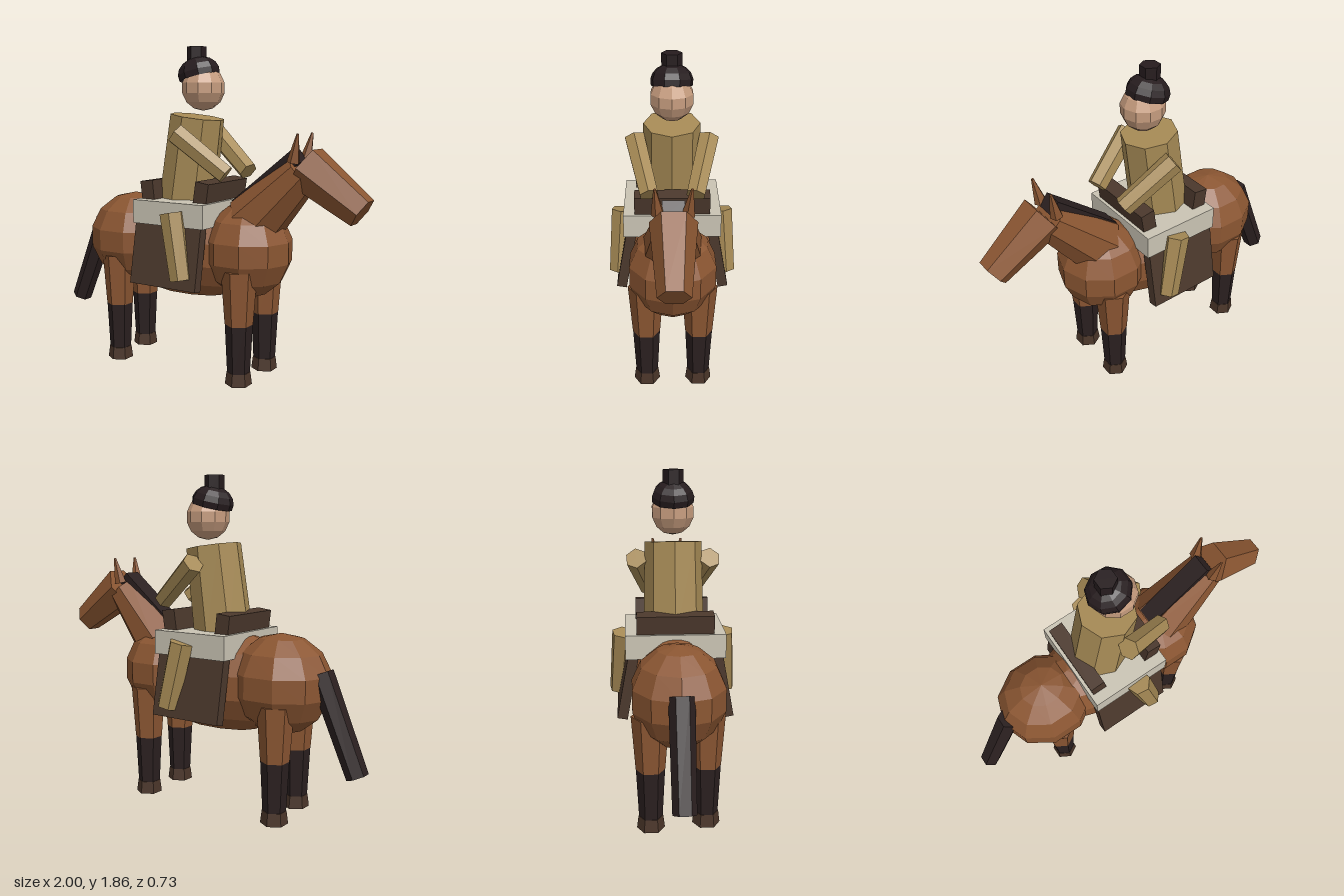
import * as THREE from 'three';

const mat = (name, color, side = THREE.FrontSide) => {
  const m = new THREE.MeshStandardMaterial({ color, side });
  m.name = name;
  return m;
};

// Faceted mesh: every face gets its own normal
function part(parent, name, geometry, material, pos = [0, 0, 0], rot = [0, 0, 0]) {
  const g = geometry.index ? geometry.toNonIndexed() : geometry;
  g.computeVertexNormals();
  const mesh = new THREE.Mesh(g, material);
  mesh.name = name;
  mesh.position.set(...pos);
  mesh.rotation.set(...rot);
  parent.add(mesh);
  return mesh;
}

// Low-poly ellipsoid
const blob = (rx, ry, rz) => new THREE.SphereGeometry(1, 10, 7).scale(rx, ry, rz);

// Tapered prism running from point a to point b
function limb(parent, name, material, a, b, ra, rb, sides = 6, spin = 0) {
  const from = new THREE.Vector3(...a), to = new THREE.Vector3(...b);
  const dir = to.clone().sub(from);
  const g = new THREE.CylinderGeometry(rb, ra, dir.length(), sides).rotateY(spin);
  const mesh = part(parent, name, g, material, from.add(to).multiplyScalar(0.5).toArray());
  mesh.quaternion.setFromUnitVectors(new THREE.Vector3(0, 1, 0), dir.normalize());
  return mesh;
}

export function createModel() {
  const coat = mat('coat brown', 0x8b5632);
  const dark = mat('mane black', 0x2b2020);
  const hoofMat = mat('hoof brown', 0x4a3529);
  const leather = mat('saddle leather', 0x4b382c);
  const cloth = mat('saddle cloth cream', 0xcac4b4);
  const robe = mat('robe tan', 0xa68a55);
  const skin = mat('skin', 0xc69c7e);
  const hairMat = mat('hair black', 0x261c1e, THREE.DoubleSide);

  const model = new THREE.Group();
  model.name = 'horseAndRider';
  const horse = new THREE.Group();
  horse.name = 'horse';
  const saddle = new THREE.Group();
  saddle.name = 'saddle';
  const rider = new THREE.Group();
  rider.name = 'rider';
  model.add(horse, saddle, rider);

  // Horse body
  part(horse, 'barrel', blob(0.54, 0.29, 0.25), coat, [-0.09, 0.71, 0]);
  part(horse, 'rump', blob(0.29, 0.275, 0.26), coat, [-0.49, 0.73, 0]);
  part(horse, 'chest', blob(0.26, 0.27, 0.255), coat, [0.295, 0.73, 0]);

  // Neck, head, mane and tail
  limb(horse, 'neck', coat, [0.33, 0.885, 0], [0.63, 1.185, 0], 0.17, 0.105, 8, Math.PI / 8);
  limb(horse, 'horseHead', coat, [0.64, 1.21, 0], [0.96, 0.988, 0], 0.12, 0.082).scale.x = 1.1;
  part(horse, 'mane', new THREE.BoxGeometry(0.46, 0.08, 0.11), dark, [0.425, 1.12, 0], [0, 0, 0.685]);
  limb(horse, 'tail', dark, [-0.73, 0.81, 0], [-0.95, 0.29, 0], 0.067, 0.06);

  for (const s of [1, -1]) {
    limb(horse, 'ear', coat, [0.605, 1.235, s * 0.075], [0.635, 1.385, s * 0.09], 0.036, 0.007, 5);

    // Legs: upper leg, dark stocking, hoof
    for (const [label, x] of [['front', 0.328], ['hind', s > 0 ? -0.508 : -0.545]]) {
      const z = s * 0.15;
      limb(horse, label + 'UpperLeg', coat, [x, 0.34, z], [x, 0.64, z], 0.078, 0.1);
      limb(horse, label + 'Stocking', dark, [x, 0.06, z], [x, 0.34, z], 0.063, 0.077);
      limb(horse, label + 'Hoof', hoofMat, [x, 0, z], [x, 0.07, z], 0.075, 0.066);
    }
  }

  // Saddle
  part(saddle, 'saddleCloth', new THREE.BoxGeometry(0.47, 0.133, 0.545), cloth, [-0.065, 0.933, 0]);
  part(saddle, 'cantle', new THREE.BoxGeometry(0.085, 0.14, 0.42), leather, [-0.243, 1.035, 0], [0, 0, 0.12]);
  part(saddle, 'pommel', new THREE.BoxGeometry(0.085, 0.14, 0.42), leather, [0.115, 1.042, 0], [0, 0, -0.15]);
  for (const s of [1, -1]) {
    part(saddle, 'saddleFlap', new THREE.BoxGeometry(0.44, 0.38, 0.057), leather,
      [-0.07, 0.71, s * 0.26], [-s * 0.18, 0, 0]);
  }

  // Rider
  limb(rider, 'torso', robe, [-0.11, 0.97, 0], [-0.04, 1.465, 0], 0.168, 0.157, 8);
  for (const s of [1, -1]) {
    limb(rider, 'arm', robe, [-0.05, 1.375, s * 0.205], [0.225, 1.155, s * 0.125], 0.062, 0.056);
    limb(rider, 'riderLeg', robe, [-0.025, 0.945, s * 0.28], [0.052, 0.582, s * 0.308], 0.07, 0.062);
  }
  part(rider, 'riderHead', blob(0.124, 0.127, 0.122), skin, [0, 1.625, 0]);
  const cap = new THREE.SphereGeometry(1, 9, 5, 0, Math.PI * 2, 0, Math.PI * 0.58).scale(0.122, 0.095, 0.118);
  part(rider, 'hair', cap, hairMat, [-0.03, 1.705, 0], [0, 0, 0.25]);
  limb(rider, 'topKnot', hairMat, [-0.045, 1.75, 0], [-0.045, 1.855, 0], 0.056, 0.056);

  model.rotation.y = -0.03;
  model.position.z = -0.005;
  const root = new THREE.Group();
  root.name = 'model';
  root.add(model);
  return root;
}
